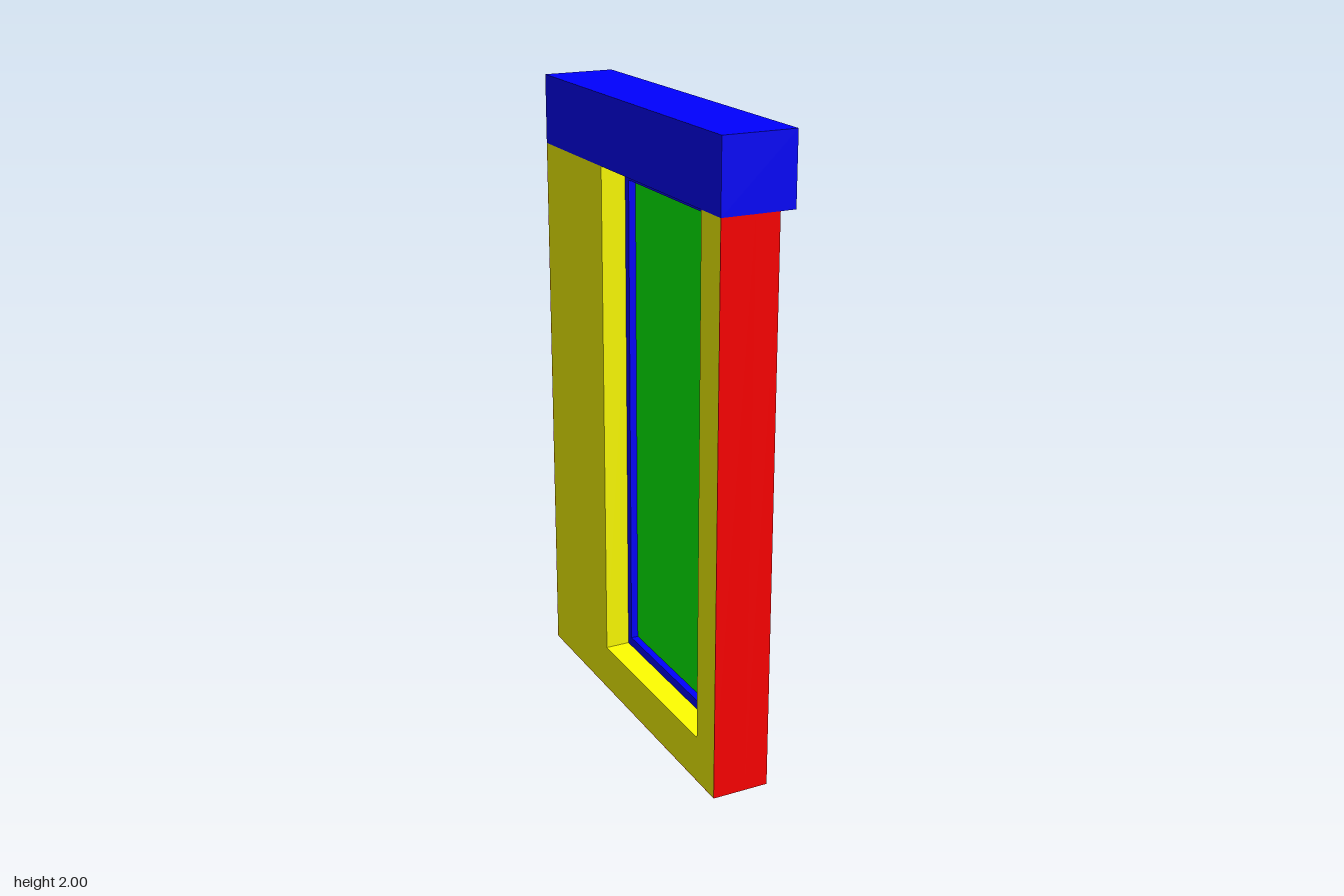
import * as THREE from 'three';

const HALF = 0.592;              // half length of the wall along z
const WALL_TOP = 1.78;
const BACK = -0.117, FRONT = 0.066;   // wall faces along x
const SPLIT = -0.01;             // where the inner lining meets the outer shell
const SKIN = 0.002;              // shell thickness around the lining

// Opening: u runs along -z
const OPEN = { l: -0.48, r: 0.17, b: 0.15 };

const mat = (color) => new THREE.MeshStandardMaterial({ color });

// U-shaped outline, open at the top
function uShape(l, r, b, il, ir, ib) {
  return new THREE.Shape([
    [l, b], [r, b], [r, WALL_TOP], [ir, WALL_TOP],
    [ir, ib], [il, ib], [il, WALL_TOP], [l, WALL_TOP],
  ].map(([u, y]) => new THREE.Vector2(u, y)));
}

function rect(Type, l, r, b, t) {
  return new Type([[l, b], [r, b], [r, t], [l, t]].map(([u, y]) => new THREE.Vector2(u, y)));
}

// Extrude an outline through the wall thickness, from x0 to x1
function slab(name, shape, x0, x1, material) {
  const geo = new THREE.ExtrudeGeometry(shape, { depth: x1 - x0, bevelEnabled: false });
  geo.rotateY(Math.PI / 2).translate(x0, 0, 0);
  const mesh = new THREE.Mesh(geo, material);
  mesh.name = name;
  return mesh;
}

export function createModel() {
  const model = new THREE.Group();
  model.name = 'windowWall';
  const red = mat(0xff0000), yellow = mat(0xffff00), blue = mat(0x0000ff), green = mat(0x00ff00);
  const { l, r, b } = OPEN;
  const inner = HALF - SKIN;

  // Outer wall with its opening, and the thin shell closing ends and base
  model.add(slab('outerWall', uShape(-HALF, HALF, 0, l, r, b), SPLIT, FRONT, red));
  model.add(slab('wallEdge', uShape(-HALF, HALF, 0, -inner, inner, SKIN), BACK, SPLIT, red));

  // Inner wall lining, including its part of the reveal
  model.add(slab('innerWall', uShape(-inner, inner, SKIN, l, r, b), BACK, SPLIT, yellow));

  // Window frame and pane
  const frameShape = rect(THREE.Shape, l, r, b, WALL_TOP);
  frameShape.holes.push(rect(THREE.Path, -0.455, 0.145, 0.18, 1.735));
  model.add(slab('windowFrame', frameShape, -0.037, 0.025, blue));
  model.add(slab('windowPane', rect(THREE.Shape, -0.455, 0.145, 0.18, 1.735), -0.014, -0.004, green));

  // Lintel box, flush with the inner face and projecting outside
  model.add(slab('lintel', rect(THREE.Shape, -HALF, HALF, WALL_TOP, 2), BACK, 0.115, blue));

  // The wall stands very slightly askew
  model.rotation.y = -0.007;
  return model;
}
